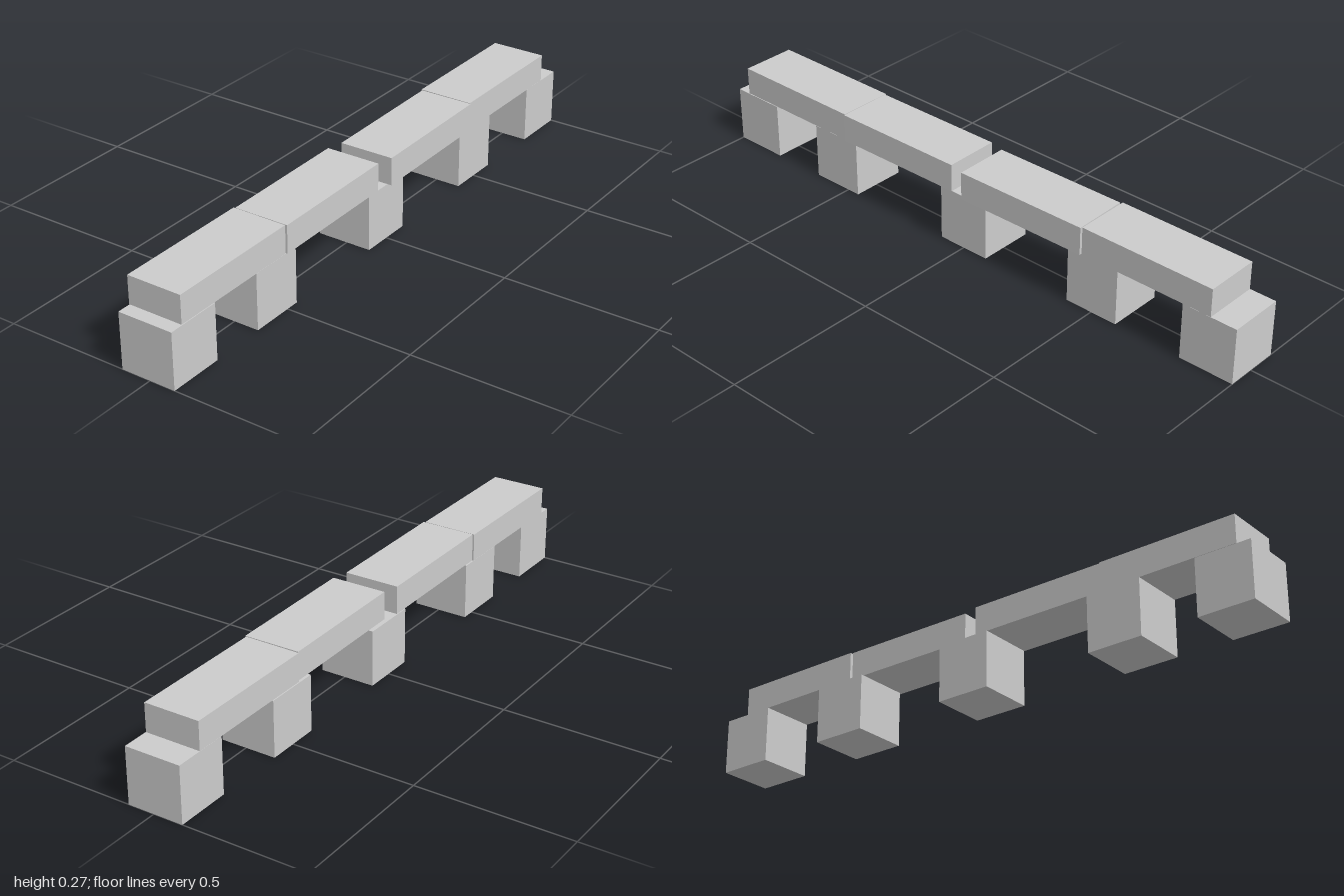
import * as THREE from 'three';

export function createModel() {
  const model = new THREE.Group();
  const stone = new THREE.MeshStandardMaterial({ color: 0xcccccc });
  stone.name = 'pale grey';

  function block(name, size, position, yaw = 0) {
    const mesh = new THREE.Mesh(new THREE.BoxGeometry(...size), stone);
    mesh.name = name;
    mesh.position.set(...position);
    mesh.rotation.y = yaw;
    model.add(mesh);
  }

  // Square piers standing on the ground: [x, z]
  const pierHeight = 0.182;
  const piers = [[-0.006, 0.91], [-0.008, 0.547], [-0.009, 0.001], [-0.008, -0.499], [-0.005, -0.91]];
  piers.forEach(([x, z], i) =>
    block(`pier${i + 1}`, [0.182, pierHeight, 0.181], [x, pierHeight / 2, z]));

  // Beams resting on the piers, slightly out of line: [x, z, yaw]
  const beamHeight = 0.091;
  const beams = [[-0.008, 0.729, 0], [-0.005, 0.274, 0.008], [0.003, -0.23, 0.012], [-0.005, -0.687, 0]];
  beams.forEach(([x, z, yaw], i) =>
    block(`beam${i + 1}`, [0.181, beamHeight, 0.453], [x, pierHeight + beamHeight / 2, z], yaw));

  return model;
}
